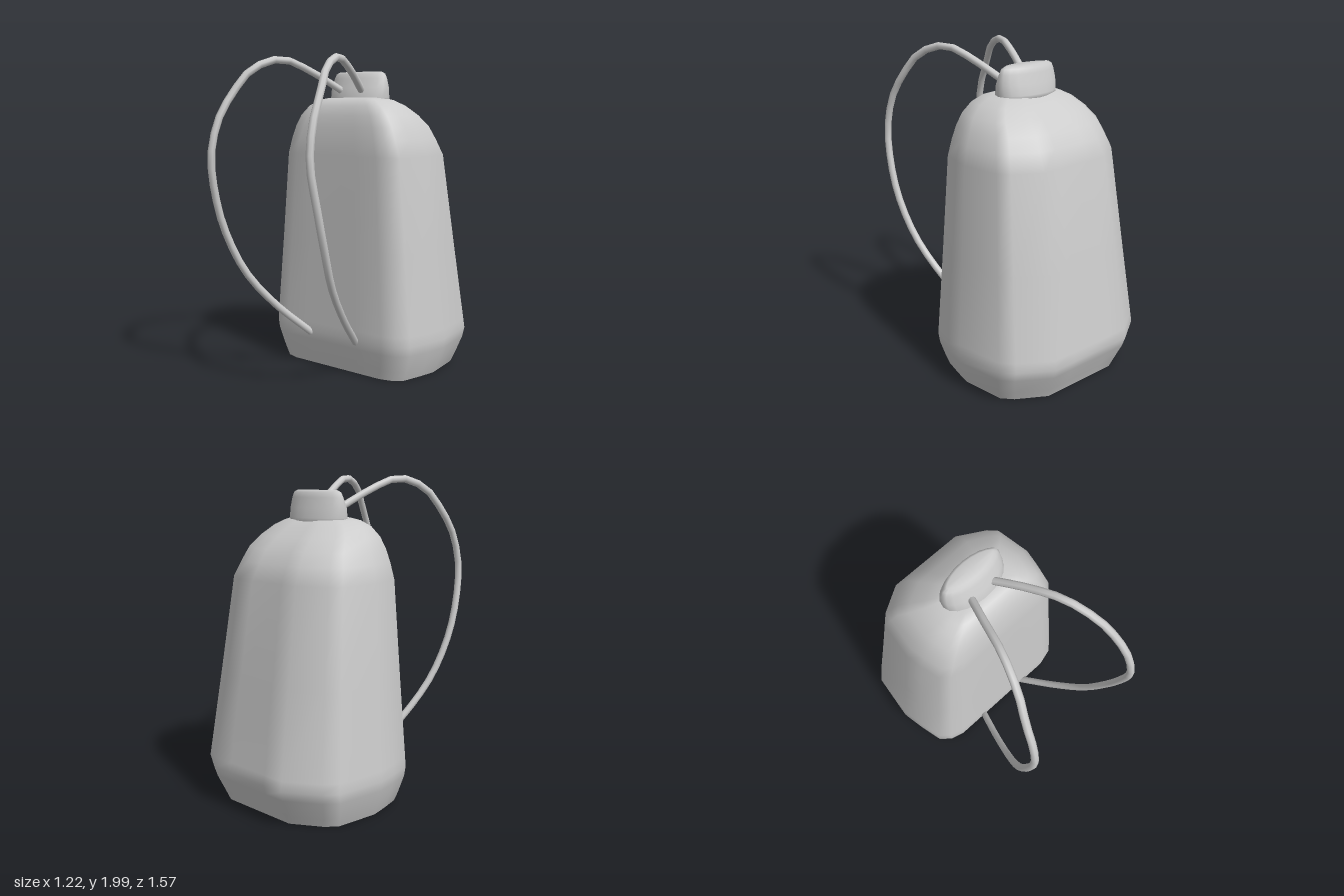
import * as THREE from 'three';

const material = new THREE.MeshStandardMaterial({ color: 0xcccccc });

// Skin a stack of equally long rings (counter-clockwise from above), closing both ends
function loft(rings, flatBottom) {
  const n = rings[0].length, pos = [], idx = [];
  const centre = (ring) => ring.reduce((s, p) => s.add(p), new THREE.Vector3()).divideScalar(n);
  const push = (p) => pos.push(p.x, p.y, p.z) / 3 - 1;
  rings.forEach((ring) => ring.forEach(push));
  for (let r = 0; r < rings.length - 1; r++) {
    for (let i = 0; i < n; i++) {
      const j = (i + 1) % n, a = r * n, b = a + n;
      idx.push(a + i, a + j, b + j, a + i, b + j, b + i);
    }
  }
  const last = (rings.length - 1) * n;
  const top = push(centre(rings[rings.length - 1]));
  const start = flatBottom ? pos.length / 3 : 0;
  if (flatBottom) rings[0].forEach(push);
  const bottom = push(centre(rings[0]));
  for (let i = 0; i < n; i++) {
    const j = (i + 1) % n;
    idx.push(top, last + i, last + j, bottom, start + j, start + i);
  }
  const geo = new THREE.BufferGeometry();
  geo.setAttribute('position', new THREE.Float32BufferAttribute(pos, 3));
  geo.setIndex(idx);
  geo.computeVertexNormals();
  return geo;
}

function addMesh(parent, name, geo) {
  const mesh = new THREE.Mesh(geo, material);
  mesh.name = name;
  parent.add(mesh);
}

// Tapered bag with chamfered corners
function bodyGeometry() {
  // half outline from front to back: [share of half width, share of depth]
  const half = [[0.32, 1], [0.64, 1], [0.79, 0.972], [0.9, 0.906], [0.96, 0.73], [1, 0.575],
    [0.93, 0.225], [0.82, 0.14], [0.49, 0], [0.25, 0]];
  const outline = [...half, ...half.slice().reverse().map(([u, v]) => [-u, v])];
  // [height, half width, front z, back z]
  const levels = [
    [0, 0.54, 0.072, -0.69], [0.06, 0.565, 0.085, -0.715], [0.17, 0.602, 0.108, -0.765],
    [0.23, 0.61, 0.115, -0.785], [0.29, 0.604, 0.114, -0.775],
    [0.8, 0.553, 0.099, -0.692], [1.38, 0.497, 0.085, -0.6], [1.48, 0.463, 0.077, -0.547],
    [1.56, 0.43, 0.065, -0.5], [1.63, 0.385, 0.05, -0.42], [1.69, 0.32, 0.025, -0.34],
    [1.725, 0.25, -0.01, -0.28], [1.74, 0.19, -0.05, -0.24]];
  return loft(levels.map(([y, w, f, b]) =>
    outline.map(([u, v]) => new THREE.Vector3(u * w, y, b + (f - b) * v))), true);
}

// Oval neck that pinches to a lens shape at the top
function capGeometry() {
  // [height, half width, half depth, centre z, pinch]
  const levels = [[1.7, 0.213, 0.122, -0.17, 0.9], [1.74, 0.215, 0.12, -0.17, 0.9],
    [1.8, 0.219, 0.102, -0.172, 1], [1.86, 0.208, 0.08, -0.177, 1.2],
    [1.89, 0.195, 0.07, -0.178, 1.3], [1.903, 0.17, 0.052, -0.178, 1.4]];
  return loft(levels.map(([y, w, d, z, p]) => Array.from({ length: 20 }, (_, i) => {
    const a = i / 20 * Math.PI * 2, c = Math.cos(a);
    return new THREE.Vector3(w * Math.sin(a), y, z + d * Math.sign(c) * Math.abs(c) ** p);
  })), false);
}

// Looping shoulder strap with closed ends
function strap(side) {
  const path = [[0.08, 1.785, -0.085], [0.15, 1.89, 0.1], [0.225, 1.972, 0.32], [0.295, 1.905, 0.51],
    [0.345, 1.76, 0.625], [0.37, 1.62, 0.71], [0.387, 1.4, 0.762], [0.4, 1.12, 0.715],
    [0.388, 0.9, 0.645], [0.345, 0.66, 0.53], [0.275, 0.43, 0.34], [0.185, 0.215, 0.105]];
  const curve = new THREE.CatmullRomCurve3(path.map(([x, y, z]) => new THREE.Vector3(x * side, y, z)));
  const group = new THREE.Group();
  addMesh(group, 'strapTube', new THREE.TubeGeometry(curve, 26, 0.023, 8, false));
  for (const t of [0, 1]) {
    const end = new THREE.CircleGeometry(0.023, 8);
    const dir = curve.getTangentAt(t).multiplyScalar(t ? 1 : -1);
    end.applyQuaternion(new THREE.Quaternion().setFromUnitVectors(new THREE.Vector3(0, 0, 1), dir));
    const p = curve.getPointAt(t);
    end.translate(p.x, p.y, p.z);
    addMesh(group, 'strapEnd', end);
  }
  return group;
}

export function createModel() {
  const model = new THREE.Group();
  model.name = 'bag';
  addMesh(model, 'body', bodyGeometry());
  addMesh(model, 'cap', capGeometry());
  for (const side of [1, -1]) {
    const s = strap(side);
    s.name = side > 0 ? 'leftStrap' : 'rightStrap';
    model.add(s);
  }
  return model;
}
